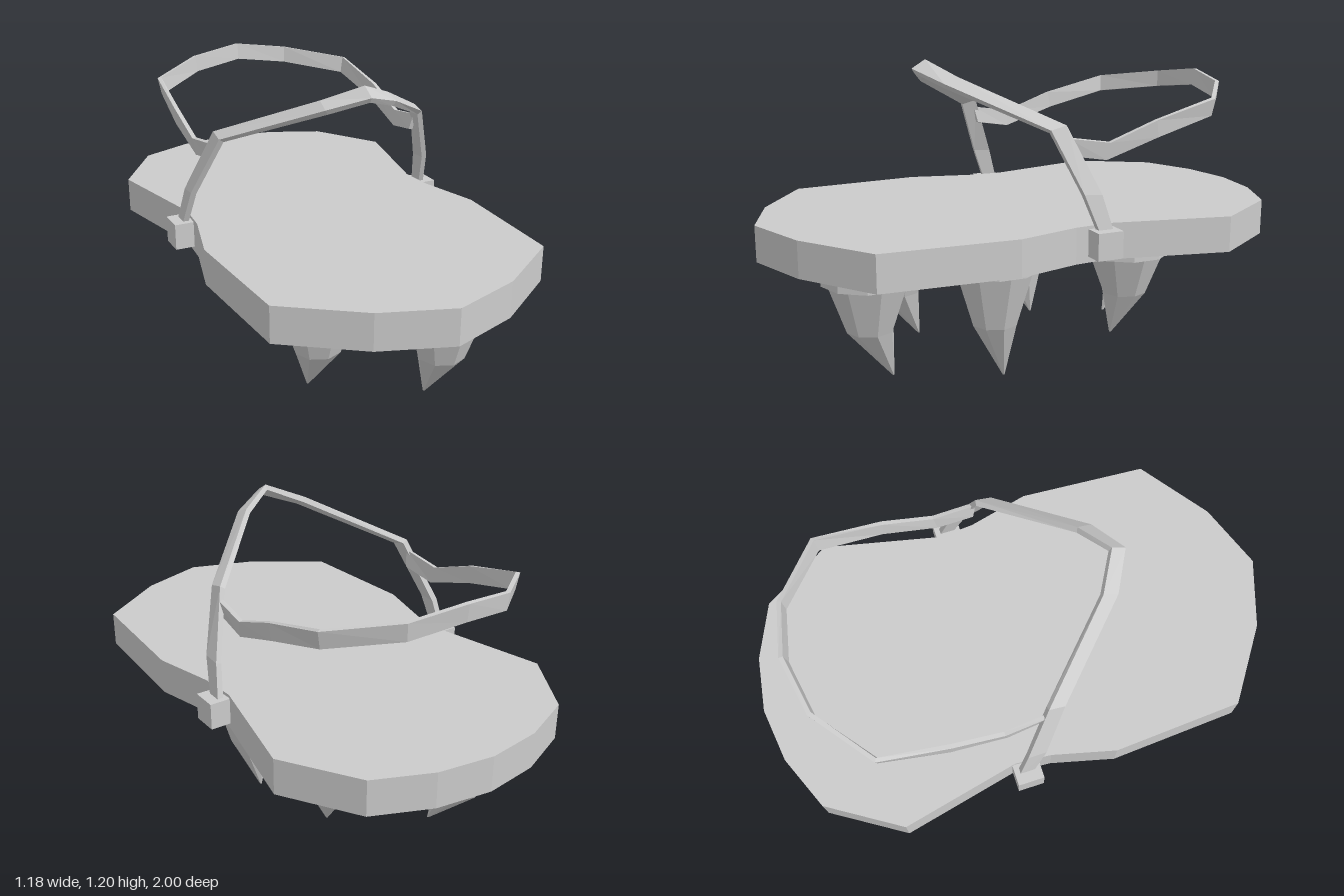
import * as THREE from 'three';

const material = new THREE.MeshStandardMaterial({ color: 0xcccccc, flatShading: true, side: THREE.DoubleSide });

function addMesh(parent, geometry, name, x = 0, y = 0, z = 0) {
  const mesh = new THREE.Mesh(geometry, material);
  mesh.name = name;
  mesh.position.set(x, y, z);
  parent.add(mesh);
  return mesh;
}

// Flat strap: each station gives two outer edge points; mirrored across x and thickened inward.
function strapGeometry(half, thickness) {
  const flip = ([a, b]) => [a, b].map(([x, y, z]) => [-x, y, z]);
  const stations = [...half, ...half.slice(0, -1).reverse().map(flip)]
    .map(([a, b]) => [new THREE.Vector3(...a), new THREE.Vector3(...b)]);
  const mids = stations.map(([a, b]) => a.clone().add(b).multiplyScalar(0.5));
  const last = stations.length - 1;
  const rings = stations.map(([a, b], i) => {
    const ahead = mids[Math.min(i + 1, last)].clone().sub(mids[i]).normalize();
    const behind = mids[i].clone().sub(mids[Math.max(i - 1, 0)]).normalize();
    const n = a.clone().sub(b).cross(ahead.add(behind)).setLength(thickness);
    return [a, b, b.clone().add(n), a.clone().add(n)];
  });
  const points = [];
  const quad = (p, q, r, s) => points.push(p, q, r, p, r, s);
  for (let i = 0; i < last; i++) {
    for (let k = 0; k < 4; k++) {
      const m = (k + 1) % 4;
      quad(rings[i][k], rings[i][m], rings[i + 1][m], rings[i + 1][k]);
    }
  }
  const [s, e] = [rings[0], rings[last]];
  quad(s[0], s[3], s[2], s[1]);
  quad(e[0], e[1], e[2], e[3]);
  const geometry = new THREE.BufferGeometry().setFromPoints(points);
  geometry.computeVertexNormals();
  return geometry;
}

// Tapered claw whose lower half bends toward the tip
function spikeGeometry(top, tipY, dx, dz) {
  const geometry = new THREE.CylinderGeometry(0.155, 0.004, top - tipY, 8, 2);
  const pos = geometry.attributes.position;
  const half = (top - tipY) / 2;
  for (let i = 0; i < pos.count; i++) {
    const y = pos.getY(i);
    if (y < -half * 0.9) {
      pos.setX(i, pos.getX(i) + dx);
      pos.setZ(i, pos.getZ(i) + dz);
    } else if (y < half * 0.9) {
      pos.setX(i, pos.getX(i) * 1.1);
      pos.setZ(i, pos.getZ(i) * 1.1);
    }
  }
  geometry.computeVertexNormals();
  return geometry;
}

export function createModel() {
  const model = new THREE.Group();
  model.name = 'spikedSandal';

  // Sole: faceted outline, waisted in the middle
  const side = [[0, -1], [0.21, -0.97], [0.42, -0.88], [0.59, -0.61], [0.49, -0.16],
    [0.5, -0.02], [0.56, 0.22], [0.53, 0.72], [0.26, 0.91], [0, 1]];
  const outline = [...side, ...side.slice(1, -1).reverse().map(([x, z]) => [-x, z])]
    .map(([x, z]) => new THREE.Vector2(x, -z));
  const sole = new THREE.ExtrudeGeometry(new THREE.Shape(outline), { depth: 0.135, bevelEnabled: false });
  sole.rotateX(-Math.PI / 2);
  addMesh(model, sole, 'sole', 0, 0.504, 0);

  // Blocks anchoring the straps
  for (const s of [1, -1]) {
    addMesh(model, new THREE.BoxGeometry(0.1, 0.1, 0.1), s > 0 ? 'leftAnchor' : 'rightAnchor', s * 0.52, 0.577, -0.12);
  }

  // Instep strap: front edge, back edge
  addMesh(model, strapGeometry([
    [[0.532, 0.61, -0.1], [0.532, 0.61, -0.155]],
    [[0.51, 0.755, -0.045], [0.51, 0.75, -0.115]],
    [[0.425, 0.975, 0.045], [0.425, 0.99, -0.015]],
    [[0.14, 1.12, 0.33], [0.135, 1.142, 0.275]],
    [[0, 1.165, 0.403], [0, 1.197, 0.35]],
  ], 0.022), 'instepStrap');

  // Heel strap: top edge, bottom edge
  addMesh(model, strapGeometry([
    [[0.44, 0.945, -0.015], [0.43, 0.88, -0.03]],
    [[0.448, 0.92, -0.18], [0.44, 0.857, -0.17]],
    [[0.45, 0.988, -0.37], [0.445, 0.925, -0.38]],
    [[0.432, 1.05, -0.63], [0.42, 0.985, -0.625]],
    [[0.215, 1.085, -0.8], [0.21, 1.02, -0.795]],
    [[0, 1.112, -0.84], [0, 1.046, -0.832]],
  ], 0.016), 'heelStrap');

  // Spikes: base x, base z, tip x, tip y, tip z
  const spikes = [
    [0.17, 0.64, 0.16, 0.06, 0.555],
    [-0.21, 0.41, -0.21, 0.065, 0.325],
    [0.215, 0.17, 0.195, 0, 0.125],
    [-0.225, -0.14, -0.19, 0.095, -0.17],
    [0.21, -0.39, 0.19, 0.1, -0.345],
    [-0.2, -0.64, -0.17, 0.055, -0.515],
  ];
  spikes.forEach(([x, z, tx, ty, tz], i) => {
    const spike = new THREE.Group();
    spike.name = `spike${i + 1}`;
    spike.position.set(x, 0, z);
    addMesh(spike, new THREE.CylinderGeometry(0.175, 0.175, 0.07, 10), 'collar', 0, 0.473, 0);
    addMesh(spike, spikeGeometry(0.445, ty, tx - x, tz - z), 'claw', 0, (0.445 + ty) / 2, 0);
    model.add(spike);
  });

  return model;
}
